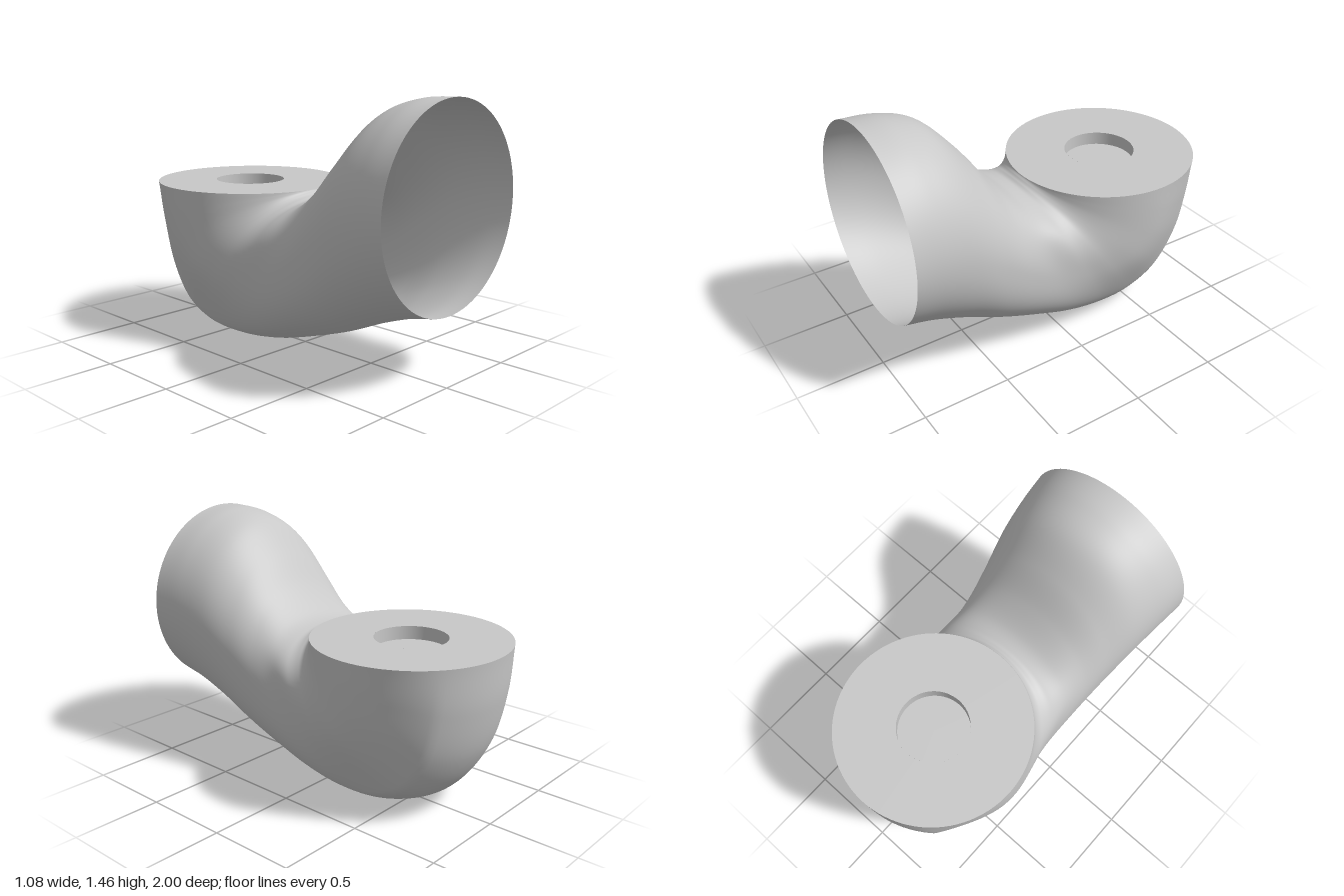
import * as THREE from 'three';

const R = 0.54;         // radius of both pipe ends
const EDGE = 0.65;      // half angle of the rounded keel strip under the bend
const RINGS = 110, SIDES = 96;

// Stations along the bend: top z, top y, bottom z, bottom y, half width
const stations = [
  [1, 1.46, 1, 0.378, 0.542],
  [0.83, 1.45, 0.83, 0.34, 0.523],
  [0.66, 1.39, 0.62, 0.265, 0.498],
  [0.5, 1.225, 0.4, 0.17, 0.467],
  [0.36, 1.04, 0.18, 0.095, 0.448],
  [0.24, 0.917, -0.06, 0.028, 0.442],
  [0.15, 0.877, -0.3, 0.001, 0.456],
  [0.11, 0.886, -0.53, 0.025, 0.485],
  [0.092, 0.898, -0.745, 0.135, 0.514],
  [0.084, 0.904, -0.9, 0.36, 0.53],
  [0.081, 0.908, -0.975, 0.64, 0.538],
  [0.08, 0.91, -1, 0.91, 0.54],
];

// Loft of tilted rings from the vertical mouth to the horizontal rim
function bendGeometry() {
  const curve = (pick) => new THREE.CatmullRomCurve3(stations.map(pick), false, 'catmullrom', 0.5);
  const top = curve((s) => new THREE.Vector3(s[4], s[1], s[0]));
  const bottom = curve((s) => new THREE.Vector3(0, s[3], s[2]));
  const keel = R * (1 - Math.cos(EDGE));
  const pos = [], index = [];
  for (let i = 0; i <= RINGS; i++) {
    const s = i / RINGS;
    const T = top.getPoint(s), B = bottom.getPoint(s);
    const w = T.x;
    const crown = 0.4 * Math.exp(-(((s - 0.5) / 0.12) ** 2));   // fuller top at the throat
    const flank = 0.6 * Math.sin(Math.PI * s * s);              // slimmer sides on the bowl
    const up = new THREE.Vector3(0, T.y - B.y, T.z - B.z);
    const H = up.length();
    up.normalize();
    for (let j = 0; j < SIDES; j++) {
      const a = (j / SIDES) * Math.PI * 2;
      const fold = Math.min(a, Math.PI * 2 - a);
      let h = R * (1 - Math.cos(a));
      let x = R * Math.sin(a);
      if (fold > EDGE) {
        // above the keel strip the circle is squeezed to the local height and width
        h = keel + (h - keel) * (H - keel) / (2 * R - keel);
        x *= THREE.MathUtils.lerp(1, w / R, THREE.MathUtils.smoothstep(fold, EDGE, Math.PI / 2));
        const t = (fold - EDGE) / (Math.PI / 2 - EDGE);
        if (t > 1) x *= 1 + crown * Math.cos(a) ** 2;
        else x *= 1 - flank * t * (1 - t) ** 2;
      }
      pos.push(x, B.y + up.y * h, B.z + up.z * h);
      if (i < RINGS) {
        const p = i * SIDES + j, q = i * SIDES + (j + 1) % SIDES;
        index.push(p, q, p + SIDES, q, q + SIDES, p + SIDES);
      }
    }
  }
  const g = new THREE.BufferGeometry();
  g.setAttribute('position', new THREE.Float32BufferAttribute(pos, 3));
  g.setIndex(index);
  g.computeVertexNormals();
  return g;
}

export function createModel() {
  const group = new THREE.Group();
  group.name = 'pipeElbow';
  const grey = new THREE.MeshStandardMaterial({ color: 0xc8c8c8, side: THREE.DoubleSide });
  grey.name = 'plainGrey';

  const add = (name, geometry, y = 0, z = 0) => {
    const mesh = new THREE.Mesh(geometry, grey);
    mesh.name = name;
    mesh.position.set(0, y, z);
    group.add(mesh);
  };

  add('bentPipe', bendGeometry());

  // Flat lid on the rim, with a shallow round recess
  const z = -0.46, lidY = 0.91, depth = 0.075, hole = 0.2;
  add('lid', new THREE.RingGeometry(hole, R, SIDES).rotateX(-Math.PI / 2), lidY, z);
  add('recessWall', new THREE.CylinderGeometry(hole, hole, depth, 64, 1, true), lidY - depth / 2, z);
  add('recessFloor', new THREE.CircleGeometry(hole, 64).rotateX(-Math.PI / 2), lidY - depth, z);
  return group;
}
